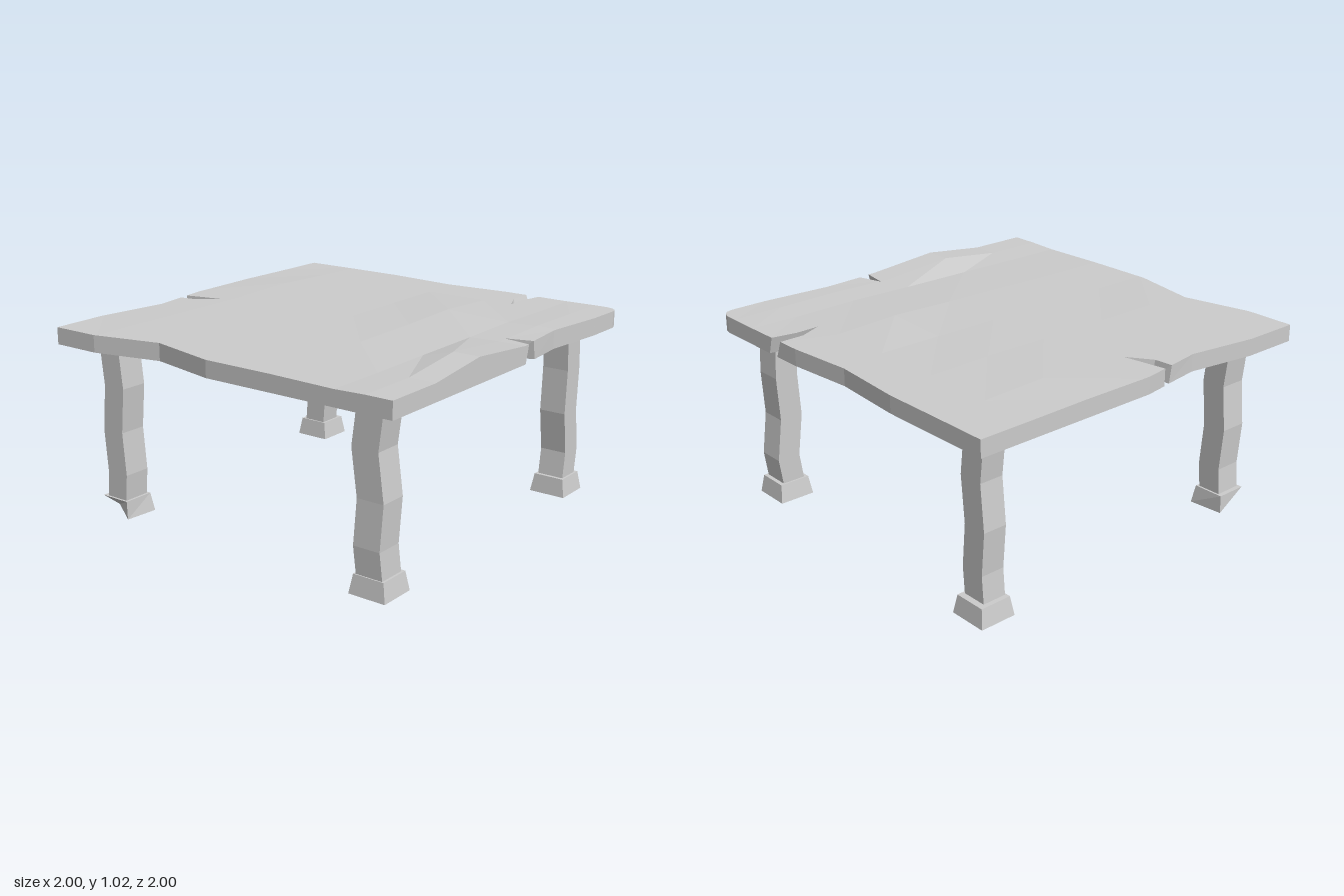
import * as THREE from 'three';

const material = new THREE.MeshStandardMaterial({ color: 0xcccccc, flatShading: true, side: THREE.DoubleSide });
const BASE = 0.895;

// Slab outline seen from above: x, z of the upper rim, then of the lower rim where the cracks slant
const outline = [
  [-0.998, -0.998], [-0.7, -0.998], [-0.34, -0.945], [-0.165, -0.972, -0.15, -0.972],
  [-0.155, -0.88, -0.145, -0.87], [-0.07, -0.76, -0.12, -0.85], [-0.112, -0.98], [0.01, -0.998],
  [1, -0.998], [1, -0.4], [0.97, -0.02], [1, 0.33],
  [1, 0.455, 1, 0.49], [0.87, 0.455, 0.87, 0.49], [0.75, 0.508, 0.75, 0.515],
  [0.87, 0.505, 0.87, 0.53], [1, 0.53, 1, 0.555],
  [1, 0.93], [0.99, 0.965], [0.97, 0.99], [0.935, 1], [0.74, 0.998], [0.38, 0.965],
  [0.15, 0.985, 0.165, 0.985], [0.11, 0.85, 0.11, 0.85], [0.085, 0.998, 0.06, 0.998],
  [-1, 0.998], [-1, -0.02], [-0.92, -0.385], [-1, -0.74],
].map(([x, z, bx = x, bz = z]) => [x, z, bx, bz]);

// Gently uneven upper surface, heights given at grid nodes (rows run along z)
const gridX = [-1.1, -0.69, -0.345, 0.05, 0.4, 0.735, 1.1];
const gridZ = [-1.1, -0.72, -0.35, 0.01, 0.35, 0.7, 0.86, 1.1];
const heights = [
  [0.98, 0.98, 0.98, 0.98, 0.98, 0.98, 0.98],
  [0.98, 0.985, 0.985, 0.985, 0.995, 0.985, 0.98],
  [0.98, 0.985, 0.985, 0.985, 0.99, 0.985, 0.98],
  [0.98, 0.98, 0.985, 0.985, 0.985, 0.985, 0.98],
  [0.98, 0.98, 0.985, 0.99, 1.0, 0.985, 0.98],
  [0.975, 0.975, 0.978, 0.98, 0.985, 0.98, 0.98],
  [0.98, 0.98, 1.02, 0.985, 0.99, 0.985, 0.98],
  [0.98, 0.98, 1.02, 0.985, 0.985, 0.983, 0.98],
];

// Keep the side of a polygon where sign * (coordinate - limit) >= 0
function clip(poly, axis, limit, sign) {
  const out = [];
  poly.forEach((a, i) => {
    const b = poly[(i + 1) % poly.length];
    const da = sign * (a[axis] - limit), db = sign * (b[axis] - limit);
    if (da >= 0) out.push(a);
    if (da * db < 0) {
      const p = a.map((v, k) => v + (b[k] - v) * da / (da - db));
      p[axis] = limit;
      out.push(p);
    }
  });
  return out;
}

function triangulate(poly, emit) {
  const flat = poly.map(p => new THREE.Vector2(p[0], p[1]));
  if (THREE.ShapeUtils.isClockWise(flat)) { flat.reverse(); poly = [...poly].reverse(); }
  for (const [a, b, c] of THREE.ShapeUtils.triangulateShape(flat, [])) emit(poly[a], poly[b], poly[c]);
}

function slabGeometry() {
  const pos = [];
  for (let j = 0; j < gridZ.length - 1; j++) for (let i = 0; i < gridX.length - 1; i++) {
    const [x0, x1, z0, z1] = [gridX[i], gridX[i + 1], gridZ[j], gridZ[j + 1]];
    let cell = clip(clip(outline, 0, x0, 1), 0, x1, -1);
    cell = clip(clip(cell, 1, z0, 1), 1, z1, -1);
    if (cell.length < 3) continue;
    const top = ([x, z]) => {
      const u = (x - x0) / (x1 - x0), v = (z - z0) / (z1 - z0);
      const mix = THREE.MathUtils.lerp;
      return [x, mix(mix(heights[j][i], heights[j][i + 1], u), mix(heights[j + 1][i], heights[j + 1][i + 1], u), v), z];
    };
    const low = p => [p[2], BASE, p[3]];
    // upper face
    triangulate(cell, (a, b, c) => pos.push(...top(a), ...top(c), ...top(b)));
    // rim: every edge that does not lie on a grid line
    cell.forEach((a, k) => {
      const b = cell[(k + 1) % cell.length];
      const inner = [[0, x0], [0, x1], [1, z0], [1, z1]].some(([ax, l]) => a[ax] === l && b[ax] === l);
      if (inner) return;
      pos.push(...top(a), ...top(b), ...low(b), ...top(a), ...low(b), ...low(a));
    });
  }
  // flat underside
  triangulate(outline.map(p => [p[2], p[3]]), (a, b, c) =>
    [a, b, c].forEach(p => pos.push(p[0], BASE, p[1])));
  const geo = new THREE.BufferGeometry();
  geo.setAttribute('position', new THREE.Float32BufferAttribute(pos, 3));
  geo.computeVertexNormals();
  return geo;
}

// Move every vertex of a geometry by a rule
function reshape(geo, rule) {
  const p = geo.attributes.position, v = new THREE.Vector3();
  for (let i = 0; i < p.count; i++) {
    rule(v.fromBufferAttribute(p, i));
    p.setXYZ(i, v.x, v.y, v.z);
  }
  geo.computeVertexNormals();
  return geo;
}

// Crooked post: a box whose rings sit at uneven heights and lean sideways
const ringY = [0.09, 0.23, 0.45, 0.68, BASE];
function postGeometry(width, depth, dx, dz) {
  return reshape(new THREE.BoxGeometry(width, 4, depth, 1, 4, 1), v => {
    const r = Math.round(v.y + 2);
    v.set(v.x + dx[r], ringY[r], v.z + dz[r]);
  });
}

// Flared foot, optionally with its outer back corner chipped off
function footGeometry(chipped) {
  return reshape(new THREE.BoxGeometry(0.165, 0.095, 0.165), v => {
    const bottom = v.y < 0;
    v.y += 0.0475;
    if (!bottom) return;
    v.x *= 1.16;
    v.z *= 1.2;
    if (chipped && v.x < 0 && v.z < 0) { v.x += 0.07; v.z += 0.07; v.y += 0.04; }
    else if (chipped && (v.x < 0 || v.z < 0)) { v.x *= 0.85; v.z *= 0.85; }
  });
}

const straight = [0, 0, 0, 0, 0];
const lean = [0.005, 0.017, 0, 0.023, 0];
const legs = [
  { name: 'frontRightLeg', x: -0.78, z: 0.78, w: 0.143, d: 0.143, dx: [-0.005, -0.013, 0, 0, 0], dz: [0, -0.01, 0, -0.03, 0] },
  { name: 'frontLeftLeg', x: 0.81, z: 0.78, w: 0.125, d: 0.143, dx: [0.01, 0.03, 0, 0.012, 0], dz: straight },
  { name: 'backLeftLeg', x: 0.81, z: -0.803, w: 0.125, d: 0.128, dx: straight, dz: lean },
  { name: 'backRightLeg', x: -0.78, z: -0.803, w: 0.143, d: 0.128, dx: straight, dz: lean, chipped: true },
];

export function createModel() {
  const table = new THREE.Group();
  table.name = 'table';
  const add = (parent, geo, name) => {
    const mesh = new THREE.Mesh(geo, material);
    mesh.name = name;
    parent.add(mesh);
    return mesh;
  };
  add(table, slabGeometry(), 'tableTop');
  for (const l of legs) {
    const leg = new THREE.Group();
    leg.name = l.name;
    leg.position.set(l.x, 0, l.z);
    add(leg, postGeometry(l.w, l.d, l.dx, l.dz), 'post');
    add(leg, footGeometry(l.chipped), 'foot').position.x = l.x > 0 ? 0.012 : 0;
    table.add(leg);
  }
  return table;
}
